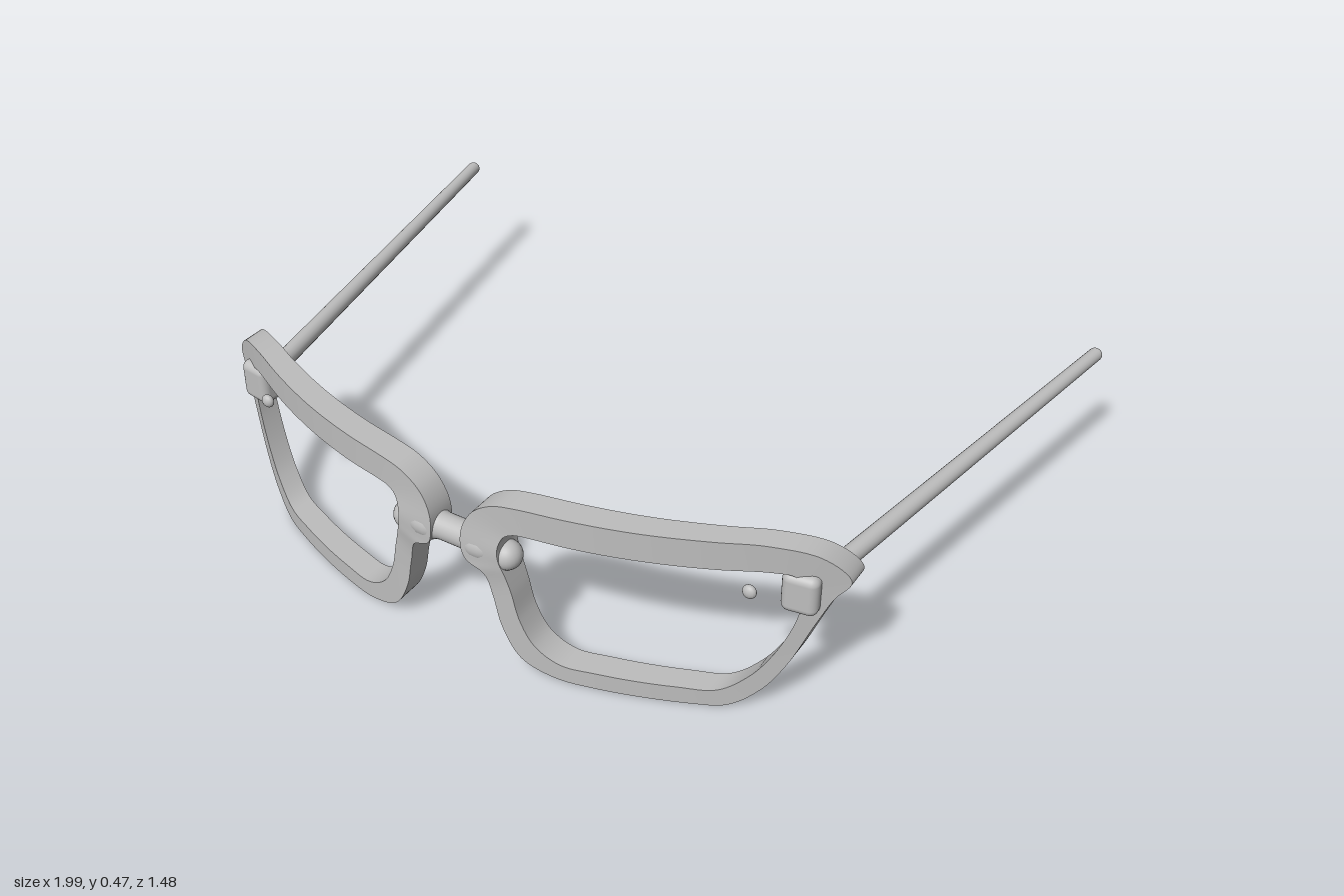
import * as THREE from 'three';
import { RoundedBoxGeometry } from 'three/addons/geometries/RoundedBoxGeometry.js';

const grey = new THREE.MeshStandardMaterial({ color: 0xbebebe });
grey.name = 'grey';

// Matched outer and inner rim outlines, clockwise from the top inner corner
const OUTER = [
  [0.18, 0.467], [0.3, 0.47], [0.45, 0.47], [0.6, 0.47], [0.7, 0.467], [0.8, 0.437], [0.856, 0.37],
  [0.827, 0.325], [0.797, 0.255], [0.747, 0.13], [0.7, 0.055], [0.635, 0.005],
  [0.53, 0], [0.36, 0], [0.26, 0.005], [0.18, 0.037], [0.135, 0.115], [0.115, 0.2],
  [0.095, 0.265], [0.05, 0.29], [0.042, 0.36], [0.07, 0.42], [0.12, 0.455],
];
const INNER = [
  [0.195, 0.396], [0.3, 0.396], [0.45, 0.396], [0.6, 0.396], [0.71, 0.396], [0.755, 0.385], [0.774, 0.35],
  [0.768, 0.3], [0.754, 0.24], [0.718, 0.155], [0.677, 0.095], [0.617, 0.049],
  [0.53, 0.046], [0.36, 0.046], [0.275, 0.048], [0.215, 0.085], [0.18, 0.15], [0.162, 0.225],
  [0.148, 0.275], [0.138, 0.31], [0.137, 0.35], [0.15, 0.38], [0.17, 0.392],
];
const closedCurve = (pts) =>
  new THREE.CatmullRomCurve3(pts.map(([x, y]) => new THREE.Vector3(x, y, 0)), true, 'centripetal');

// Front and back surfaces follow a face-wrapping parabola, swelling where the bridge joins
const swell = (x, y) => Math.exp(-(((x - 0.09) / 0.06) ** 2) - ((y - 0.32) / 0.06) ** 2);
const frontZ = ({ x, y }) => 0.727 - 0.388 * x * x + 0.016 * swell(x, y);
const backZ = ({ x, y }) => 0.658 - 0.376 * x * x - 0.006 * swell(x, y);

// Rectangular section swept around the lens opening, sharp at its four edges
function rimGeometry(side) {
  const N = 184, outer = closedCurve(OUTER), inner = closedCurve(INNER);
  const pos = [], idx = [];
  for (let i = 0; i <= N; i++) {
    const o = outer.getPoint((i % N) / N), n = inner.getPoint((i % N) / N);
    const c = [
      [o.x, o.y, frontZ(o)], [o.x, o.y, backZ(o)],
      [n.x, n.y, backZ(n)], [n.x, n.y, frontZ(n)],
    ];
    for (let f = 0; f < 4; f++)
      for (const [x, y, z] of [c[f], c[(f + 1) % 4]]) pos.push(x * side, Math.max(y, 0), z);
    if (i === N) break;
    for (let f = 0; f < 4; f++) {
      const a = i * 8 + f * 2, b = a + 1, a2 = a + 8, b2 = a + 9;
      if (side > 0) idx.push(a, a2, b, a2, b2, b);
      else idx.push(a, b, a2, a2, b, b2);
    }
  }
  const g = new THREE.BufferGeometry();
  g.setAttribute('position', new THREE.Float32BufferAttribute(pos, 3));
  g.setIndex(idx);
  g.computeVertexNormals();
  return g;
}

const lathe = (pts, seg) => new THREE.LatheGeometry(pts.map(([r, y]) => new THREE.Vector2(r, y)), seg);

function add(group, name, geometry, x = 0, y = 0, z = 0) {
  const m = new THREE.Mesh(geometry, grey);
  m.name = name;
  m.position.set(x, y, z);
  group.add(m);
  return m;
}

// Tapered rod with a rounded tip
function addTemple(group, name, side) {
  const from = new THREE.Vector3(0.768 * side, 0.327, 0.45);
  const dir = new THREE.Vector3(0.982 * side, 0.344, -0.74).sub(from);
  const L = dir.length();
  const pts = [[0.034, 0], [0.032, 0.035], [0.025, 0.06], [0.023, 0.1], [0.018, L - 0.015]];
  for (let i = 1; i <= 5; i++) {
    const a = (i / 5) * Math.PI / 2;
    pts.push([Math.max(0.018 * Math.cos(a), 0), L - 0.015 + 0.015 * Math.sin(a)]);
  }
  const m = add(group, name, lathe(pts, 20), from.x, from.y, from.z);
  m.quaternion.setFromUnitVectors(new THREE.Vector3(0, 1, 0), dir.normalize());
}

export function createModel() {
  const model = new THREE.Group();
  model.name = 'eyeglasses';

  for (const [side, label] of [[1, 'left'], [-1, 'right']]) {
    add(model, label + 'Rim', rimGeometry(side));
    const hinge = add(model, label + 'Hinge', new RoundedBoxGeometry(0.085, 0.105, 0.1, 4, 0.02),
      0.757 * side, 0.337, 0.462);
    hinge.rotation.y = 0.15 * side;
    // Small flattened stud floating beside the hinge
    const stud = add(model, label + 'Stud', new THREE.SphereGeometry(0.017, 16, 12), 0.672 * side, 0.346, 0.557);
    stud.scale.z = 0.7;
    add(model, label + 'NosePad', new THREE.SphereGeometry(0.036, 24, 16), 0.137 * side, 0.307, 0.69);
    addTemple(model, label + 'Temple', side);
  }

  // Bridge bar, flaring where it joins each rim
  const half = [[0.033, 0.03], [0.035, 0.042], [0.04, 0.052], [0.042, 0.065], [0.041, 0.085], [0.036, 0.105], [0.026, 0.125], [0, 0.135]];
  const profile = [...half.map(([r, y]) => [r, -y]).reverse(), ...half];
  add(model, 'bridge', lathe(profile, 32), 0, 0.319, 0.694).rotation.z = Math.PI / 2;

  return model;
}
